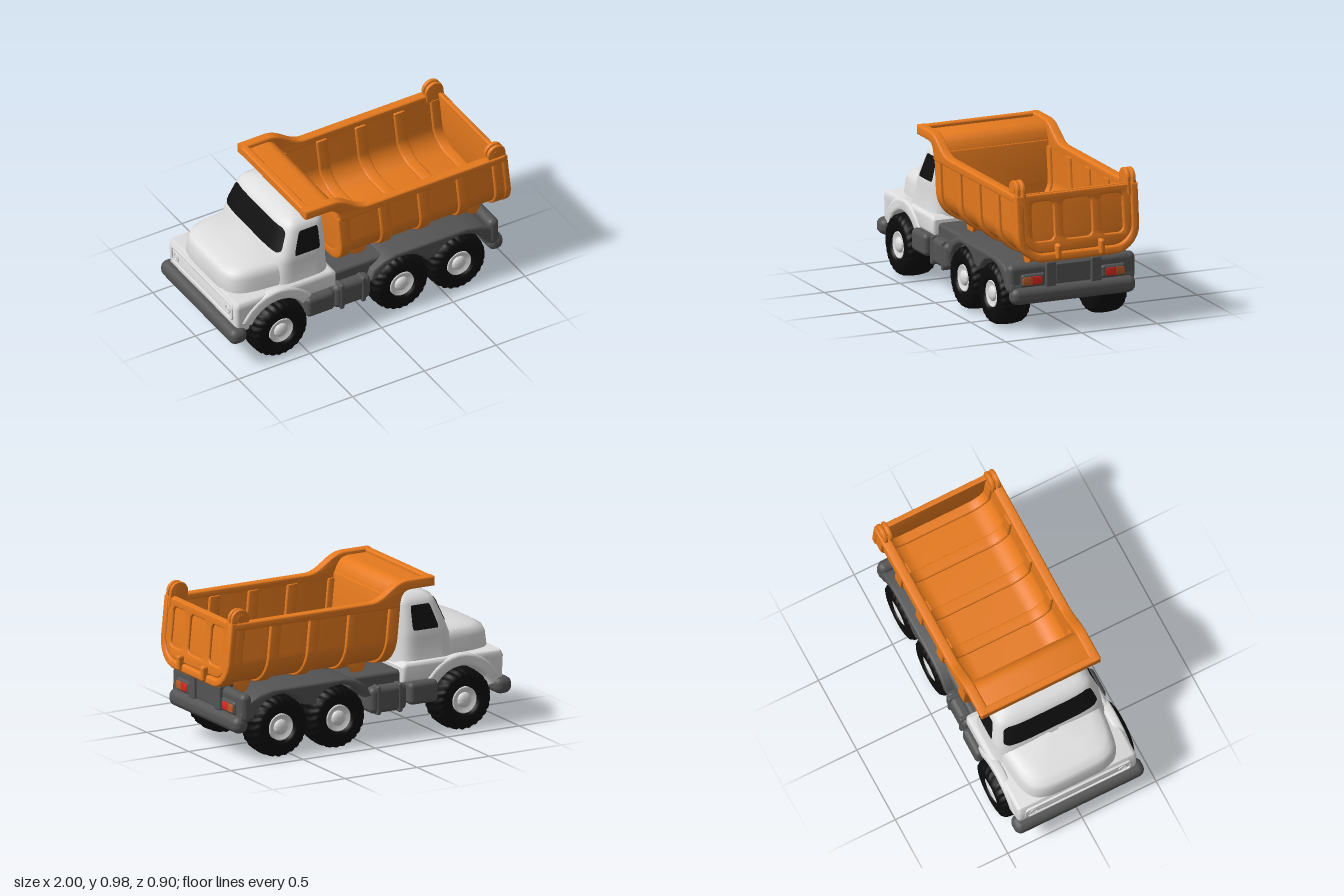
import * as THREE from 'three';
import { toCreasedNormals } from 'three/addons/utils/BufferGeometryUtils.js';
import { RoundedBoxGeometry } from 'three/addons/geometries/RoundedBoxGeometry.js';

const paint = (name, color) => {
  const m = new THREE.MeshStandardMaterial({ color });
  m.name = name;
  return m;
};

export function createModel() {
  const orange = paint('bed orange', 0xe67a1e), white = paint('cab white', 0xdedede), grey = paint('chassis grey', 0x545454);
  const black = paint('tyre black', 0x0b0b0b), glass = paint('window black', 0x101010);
  const red = paint('lamp red', 0xdc2a20), amber = paint('lamp amber', 0xb85c2a);
  glass.side = THREE.DoubleSide;
  const model = new THREE.Group();
  model.name = 'dumpTruck';

  const add = (name, geo, mat, parent = model) => {
    const m = new THREE.Mesh(geo, mat);
    m.name = name;
    parent.add(m);
    return m;
  };
  // Rounded box given by its limits
  const box = (name, mat, x0, x1, y0, y1, z0, z1, r = 0.01) => add(name,
    new RoundedBoxGeometry(x1 - x0, y1 - y0, z1 - z0, 3, r).translate((x0 + x1) / 2, (y0 + y1) / 2, (z0 + z1) / 2), mat);
  const poly = (pts) => new THREE.Shape(pts.map(([x, y]) => new THREE.Vector2(x, y)));
  // Side-profile extrusion between z0 and z1 with soft edges
  const slab = (shape, z0, z1, b = 0.01) => toCreasedNormals(new THREE.ExtrudeGeometry(shape, {
    depth: z1 - z0 - 2 * b, bevelThickness: b, bevelSize: b, bevelOffset: -b, bevelSegments: 3, curveSegments: 20,
  }).translate(0, 0, z0 + b), 0.7);
  // The same, but a front profile extruded along x
  const across = (shape, x0, x1, b = 0.005) => slab(shape, x0, x1, b).rotateY(Math.PI / 2);
  const roundRect = (x0, x1, y0, y1, r, S = THREE.Shape) => {
    const s = new S();
    s.moveTo(x0 + r, y0);
    s.lineTo(x1 - r, y0); s.absarc(x1 - r, y0 + r, r, -Math.PI / 2, 0);
    s.lineTo(x1, y1 - r); s.absarc(x1 - r, y1 - r, r, 0, Math.PI / 2);
    s.lineTo(x0 + r, y1); s.absarc(x0 + r, y1 - r, r, Math.PI / 2, Math.PI);
    s.lineTo(x0, y0 + r); s.absarc(x0 + r, y0 + r, r, Math.PI, Math.PI * 1.5);
    return s;
  };

  // Cab shells: rounded horizontal sections [y, front x, rear x, half width], narrowing forwards by taper
  const N = 5;
  const loft = (secs, taper) => {
    const pos = [], idx = [], n = 72;
    const pw = (v) => Math.sign(v) * Math.abs(v) ** (2 / N);
    secs.forEach(([y, x0, x1, h], i) => {
      for (let j = 0; j < n; j++) {
        const t = j / n * Math.PI * 2, c = pw(Math.cos(t));
        pos.push((x0 + x1) / 2 + (x1 - x0) / 2 * c, y, h * pw(Math.sin(t)) * (1 - taper * (1 - c) / 2));
        if (i) {
          const a = (i - 1) * n + j, b = (i - 1) * n + (j + 1) % n;
          idx.push(a, a + n, b, b, a + n, b + n);
        }
      }
    });
    const g = new THREE.BufferGeometry();
    g.setAttribute('position', new THREE.Float32BufferAttribute(pos, 3));
    g.setIndex(idx);
    g.computeVertexNormals();
    return g;
  };
  add('hood', loft([[0.4, -0.925, -0.28, 0.385], [0.46, -0.943, -0.27, 0.377], [0.55, -0.935, -0.27, 0.366], [0.585, -0.918, -0.27, 0.355],
    [0.608, -0.87, -0.28, 0.33], [0.622, -0.78, -0.3, 0.27], [0.636, -0.64, -0.4, 0.05]], 0.17), white);
  const cabSecs = [[0.42, -0.67, -0.25, 0.38], [0.5, -0.66, -0.255, 0.362], [0.6, -0.645, -0.262, 0.36], [0.66, -0.62, -0.265, 0.357], [0.8, -0.56, -0.27, 0.325],
    [0.835, -0.54, -0.275, 0.305], [0.858, -0.5, -0.295, 0.265], [0.87, -0.45, -0.34, 0.19], [0.874, -0.41, -0.39, 0.02]];
  add('cabShell', loft(cabSecs, 0), white);

  // Windows: thin patches that follow the cab shell
  const sectionAt = (y) => {
    const i = cabSecs.findIndex((s) => s[0] >= y), a = cabSecs[i - 1], b = cabSecs[i];
    return a.map((v, k) => v + (b[k] - v) * (y - a[0]) / (b[0] - a[0]));
  };
  const patch = (name, y0, y1, span, place) => {
    const g = new THREE.PlaneGeometry(2, 2, 20, 12), p = g.attributes.position;
    for (let i = 0; i < p.count; i++) {
      const v = p.getY(i), u = p.getX(i) * (1 - 0.1 * v ** 8), y = y0 + (y1 - y0) * (v + 1) / 2;
      const [lo, hi] = span((v + 1) / 2), [, x0, x1, h] = sectionAt(y);
      p.setXYZ(i, ...place(lo + (hi - lo) * (u + 1) / 2, y, (x0 + x1) / 2, (x1 - x0) / 2, h));
    }
    g.computeVertexNormals();
    add(name, g, glass);
  };
  patch('windscreen', 0.665, 0.81, (t) => [-0.32 + 0.03 * t, 0.32 - 0.03 * t],
    (z, y, cx, hx, h) => [cx - hx * (1 - Math.abs(z / h) ** N) ** (1 / N) - 0.006, y, z]);
  for (const s of [1, -1]) {
    patch('sideWindow', 0.65, 0.8, (t) => [-0.525 + 0.05 * t, -0.345],
      (x, y, cx, hx, h) => [x, y, s * (h * (1 - Math.abs((x - cx) / hx) ** N) ** (1 / N) + 0.005)]);
  }

  // Lower cab body with wheel arches
  const body = poly([[-0.945, 0.25], [-0.955, 0.43], [-0.935, 0.465], [-0.28, 0.465], [-0.25, 0.44], [-0.25, 0.345]]);
  body.absarc(-0.66, 0.195, 0.205, 0.818, Math.PI - 0.272);
  add('lowerCab', slab(body, -0.4, 0.4, 0.025), white);
  for (const s of [1, -1]) {
    const lip = new THREE.Shape();
    lip.absarc(-0.66, 0.195, 0.28, 0.6, Math.PI - 0.45);
    lip.absarc(-0.66, 0.195, 0.205, Math.PI - 0.45, 0.6, true);
    add('frontFender', slab(lip, s * 0.38 - 0.03, s * 0.38 + 0.03, 0.015), white);
    // Headlamps
    add('headlampRing', new THREE.TorusGeometry(0.024, 0.006, 10, 28).rotateY(Math.PI / 2).translate(-0.953, 0.385, s * 0.3), white);
    add('headlamp', new THREE.SphereGeometry(0.02, 20, 12).scale(0.4, 1, 1).translate(-0.95, 0.385, s * 0.3), white);
    // Steps and side tanks
    box('cabStep', grey, -0.48, -0.28, 0.21, 0.35, s * 0.325 - 0.115, s * 0.325 + 0.115, 0.03);
    box('sideTank', grey, -0.275, -0.02, 0.185, 0.35, s * 0.31 - 0.11, s * 0.31 + 0.11, 0.035);
    for (const x of [-0.225, -0.075]) box('tankStrap', grey, x - 0.015, x + 0.015, 0.178, 0.357, s * 0.31 - 0.115, s * 0.31 + 0.115, 0.012);
  }
  const grille = roundRect(-0.36, 0.36, 0.325, 0.445, 0.03);
  grille.holes.push(roundRect(-0.345, 0.345, 0.34, 0.43, 0.02, THREE.Path));
  add('grilleFrame', across(grille, -0.961, -0.935, 0.004), white);
  box('frontBumper', grey, -1, -0.885, 0.19, 0.295, -0.435, 0.435, 0.045);

  // Chassis
  box('frame', grey, -0.92, 0.84, 0.22, 0.4, -0.2, 0.2, 0.02);
  box('deck', grey, -0.28, 0.1, 0.3, 0.42, -0.36, 0.36, 0.02);
  box('subframe', grey, -0.15, 0.82, 0.4, 0.465, -0.13, 0.13, 0.01);
  const guard = poly([[-0.03, 0.3], [0, 0.37], [0.07, 0.415], [0.15, 0.435], [0.65, 0.435], [0.75, 0.415], [0.83, 0.375], [0.875, 0.31], [0.875, 0.27]]);
  guard.absarc(0.597, 0.195, 0.205, 0.375, Math.PI - 0.593);
  guard.absarc(0.198, 0.195, 0.205, 0.593, Math.PI - 0.53);
  add('rearMudguard', slab(guard, -0.412, 0.412, 0.015), grey);
  box('tailPlate', grey, 0.8, 0.875, 0.25, 0.43, -0.42, 0.42, 0.035);
  box('rearBumper', grey, 0.815, 0.915, 0.185, 0.29, -0.41, 0.41, 0.045);
  box('tailPanel', grey, 0.85, 0.883, 0.295, 0.415, -0.115, 0.115, 0.006);
  for (const s of [1, -1]) {
    box('tailBracket', grey, 0.82, 0.895, 0.28, 0.435, s * 0.15 - 0.035, s * 0.15 + 0.035, 0.01);
    box('lampHousing', grey, 0.85, 0.89, 0.29, 0.372, s * 0.265 - 0.08, s * 0.265 + 0.08, 0.018);
    // Lamps seen as one rounded strip, red inside and amber outside
    const strip = (a, b, inner) => {
      const l = new THREE.Shape(), e = s * (inner ? a : b), o = s * (inner ? b : a), r = 0.016 * Math.sign(o - e);
      l.moveTo(-o, 0.305); l.lineTo(-o, 0.355); l.lineTo(-e - r, 0.355);
      l.quadraticCurveTo(-e, 0.355, -e, 0.339); l.lineTo(-e, 0.321);
      l.quadraticCurveTo(-e, 0.305, -e - r, 0.305);
      return across(l, 0.886, 0.895, 0.002);
    };
    add('brakeLamp', strip(0.21, 0.276, true), red);
    add('turnLamp', strip(0.276, 0.337, false), amber);
  }

  // Wheels and axles
  const lathe = (pts, n) => new THREE.LatheGeometry(pts.map(([r, y]) => new THREE.Vector2(r, y)), n).rotateX(Math.PI / 2);
  const tyreGeo = lathe([[0, -0.09], [0.08, -0.09], [0.1, -0.1], [0.15, -0.1], [0.173, -0.092], [0.186, -0.07], [0.192, -0.025], [0.192, 0.025],
    [0.186, 0.07], [0.173, 0.092], [0.15, 0.1], [0.105, 0.1], [0.088, 0.09], [0.08, 0.065], [0, 0.065]], 96);
  const tp = tyreGeo.attributes.position;
  for (let i = 0; i < tp.count; i++) { // tread grooves
    const x = tp.getX(i), y = tp.getY(i), z = tp.getZ(i);
    if (Math.hypot(x, y) < 0.16) continue;
    const k = Math.sin(Math.atan2(y, x) * 24 + Math.abs(z) * 40) > 0 ? 1 : 0.968;
    tp.setXY(i, x * k, y * k);
  }
  tyreGeo.computeVertexNormals();
  const rimGeo = toCreasedNormals(lathe([[0, 0.05], [0.082, 0.05], [0.082, 0.088], [0.077, 0.09], [0.052, 0.078], [0.047, 0.078], [0.045, 0.085],
    [0.036, 0.093], [0.02, 0.099], [0, 0.1]], 40), 0.6);
  const axleProfile = [[0, -0.24], [0.045, -0.24], [0.042, -0.2], [0.034, -0.17], [0.036, -0.13], [0.052, -0.09], [0.068, -0.05], [0.074, 0]];
  const axleGeo = lathe([...axleProfile, ...axleProfile.slice(0, -1).reverse().map(([r, z]) => [r, -z])], 28);
  for (const [x, track] of [[-0.66, 0.348], [0.198, 0.32], [0.597, 0.32]]) {
    for (const s of [1, -1]) {
      const wheel = new THREE.Group();
      wheel.name = 'wheel';
      wheel.position.set(x, 0.195, s * track);
      if (s < 0) wheel.rotation.y = Math.PI;
      add('tyre', tyreGeo, black, wheel);
      add('rim', rimGeo, white, wheel);
      model.add(wheel);
    }
    add('axle', axleGeo, grey).position.set(x, 0.195, 0);
  }

  // Bed: U-shaped shell and ribs, leaning slightly backwards towards the floor
  const lean = new THREE.Matrix4().set(1, -0.1, 0, 0.087, 0, 1, 0, 0, 0, 0, 1, 0, 0, 0, 0, 1);
  const uSolid = (h, y0, y1, r) => {
    const s = new THREE.Shape();
    s.moveTo(-h, y1); s.lineTo(-h, y0 + r); s.absarc(-h + r, y0 + r, r, Math.PI, Math.PI * 1.5);
    s.absarc(h - r, y0 + r, r, Math.PI * 1.5, Math.PI * 2); s.lineTo(h, y1);
    return s;
  };
  const uBand = (h, y0, y1, r, t) => {
    const s = uSolid(h, y0, y1, r), q = r - t;
    s.lineTo(h - t, y1); s.lineTo(h - t, y0 + r);
    s.absarc(h - r, y0 + r, q, 0, -Math.PI / 2, true);
    s.absarc(-h + r, y0 + r, q, -Math.PI / 2, -Math.PI, true);
    s.lineTo(-h + t, y1);
    return s;
  };
  const bedPart = (name, shape, x0, x1, b) => add(name, across(shape, x0, x1, b).applyMatrix4(lean), orange);
  bedPart('bedShell', uBand(0.378, 0.465, 0.86, 0.17, 0.032), -0.22, 0.9, 0.003);
  bedPart('bedFrontWall', uSolid(0.378, 0.465, 0.87, 0.17), -0.24, -0.207, 0.005);
  for (const x of [-0.205, 0.078, 0.348, 0.618, 0.87])
    bedPart('bedRib', uBand(0.396, 0.45, 0.835, 0.185, 0.066), x - 0.038, x + 0.038, 0.009);

  // Top rails sweeping up into the cab guard
  const rail = new THREE.Shape();
  rail.moveTo(-0.47, 0.985); rail.lineTo(-0.29, 0.985);
  rail.bezierCurveTo(-0.18, 0.985, -0.13, 0.877, -0.03, 0.875);
  rail.lineTo(0.92, 0.875); rail.lineTo(0.92, 0.83); rail.lineTo(-0.23, 0.82);
  rail.bezierCurveTo(-0.24, 0.89, -0.25, 0.925, -0.32, 0.925);
  rail.lineTo(-0.47, 0.925);
  for (const s of [1, -1]) add('bedRail', slab(rail, s * 0.375 - 0.03, s * 0.375 + 0.03, 0.01), orange);
  const guardPlate = new THREE.Shape();
  guardPlate.moveTo(-0.465, 0.962); guardPlate.lineTo(-0.31, 0.962);
  guardPlate.bezierCurveTo(-0.24, 0.962, -0.21, 0.9, -0.2, 0.8);
  guardPlate.lineTo(-0.23, 0.8);
  guardPlate.bezierCurveTo(-0.24, 0.89, -0.25, 0.928, -0.32, 0.928);
  guardPlate.lineTo(-0.465, 0.928);
  add('cabGuard', slab(guardPlate, -0.36, 0.36, 0.003), orange);
  box('cabGuardLip', orange, -0.472, -0.425, 0.925, 0.985, -0.403, 0.403, 0.012);

  // Tailgate with three recessed panels
  bedPart('tailgatePlate', uSolid(0.398, 0.465, 0.875, 0.17), 0.893, 0.913, 0.004);
  const face = uSolid(0.36, 0.515, 0.87, 0.13);
  for (const [a, b] of [[-0.3, -0.155], [-0.095, 0.095], [0.155, 0.3]]) face.holes.push(roundRect(a, b, 0.585, 0.825, 0.035, THREE.Path));
  bedPart('tailgateFace', face, 0.905, 0.928, 0.008);
  bedPart('tailgateBorder', uBand(0.403, 0.46, 0.875, 0.17, 0.05), 0.895, 0.938, 0.012);

  // Hinge ears, latches and mounting lugs
  const ear = new THREE.Shape();
  ear.moveTo(0.815, 0.83); ear.lineTo(0.807, 0.895);
  ear.absarc(0.868, 0.897, 0.061, Math.PI, 0, true);
  ear.lineTo(0.94, 0.81);
  const lug = poly([[-0.09, 0.5], [0.06, 0.5], [0.02, 0.42], [-0.005, 0.4], [-0.035, 0.4], [-0.055, 0.42]]);
  for (const s of [1, -1]) {
    for (const z of [0.347, 0.381]) add('hingeEar', slab(ear, s * z - 0.012, s * z + 0.012, 0.006), orange);
    add('hingePin', new THREE.CylinderGeometry(0.025, 0.025, 0.06, 20).rotateX(Math.PI / 2).translate(0.867, 0.9, s * 0.365), orange);
    box('tailgateLatch', orange, 0.93, 1, 0.47, 0.565, s * 0.143 - 0.017, s * 0.143 + 0.017, 0.015);
    for (const x of [0, 0.8]) add('mountingLug', slab(lug, s * 0.25 - 0.013, s * 0.25 + 0.013, 0.006).translate(x, 0, 0), orange);
  }
  return model;
}
